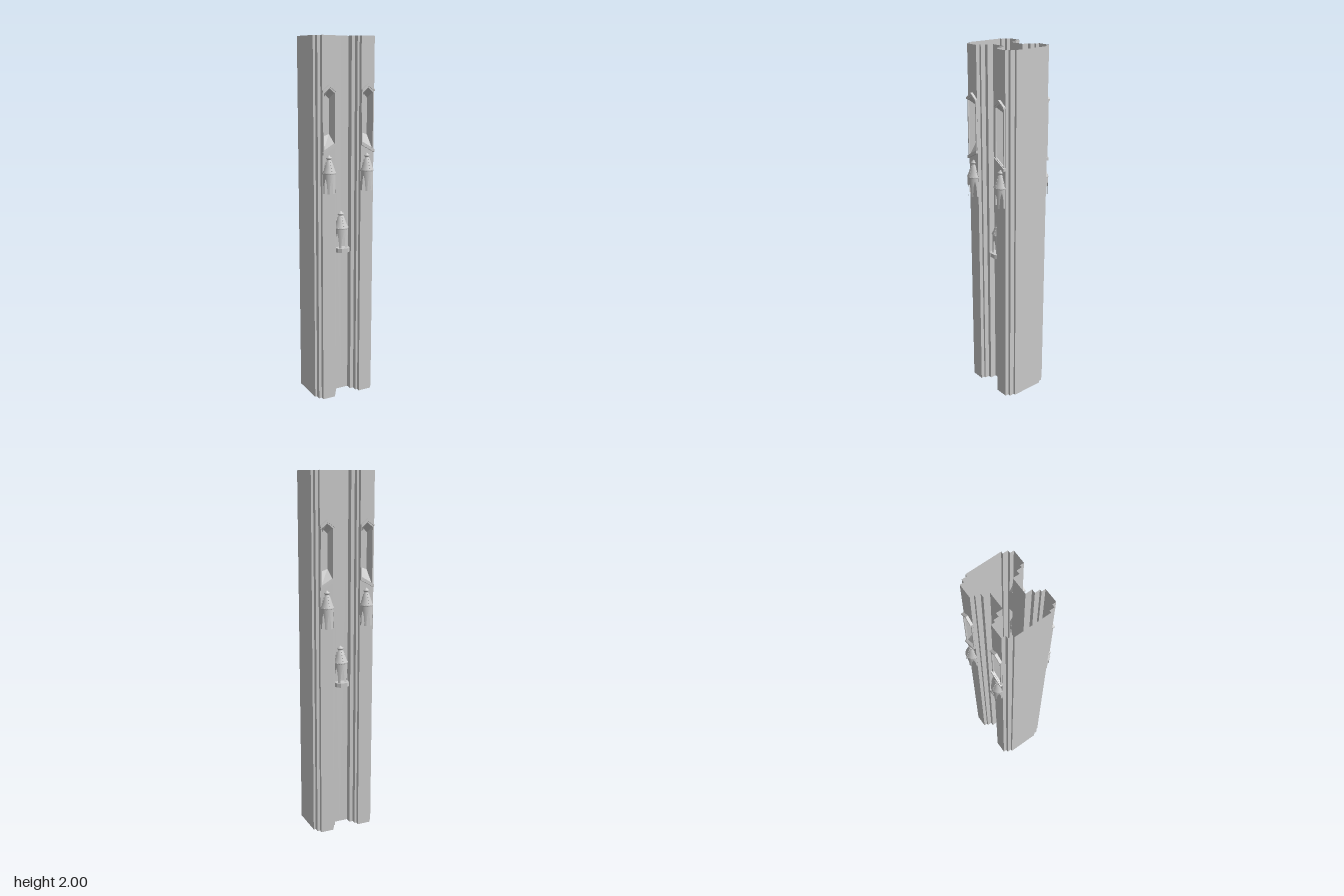
import * as THREE from 'three';

const smooth = new THREE.MeshStandardMaterial({ color: 0xcccccc, side: THREE.DoubleSide });
const flat = new THREE.MeshStandardMaterial({ color: 0xcccccc, side: THREE.DoubleSide, flatShading: true });

const HEIGHT = 2, FACE_Z = 0.143, RECESS_Z = 0.06, FACE_X0 = 0.078, FACE_X1 = 0.153;
const FACE_MID = 0.115;

function add(parent, name, geometry, material, x = 0, y = 0, z = 0) {
  const mesh = new THREE.Mesh(geometry, material);
  mesh.name = name;
  mesh.position.set(x, y, z);
  parent.add(mesh);
  return mesh;
}

// Joins two rows of 3D points with quads
function strip(a, b) {
  const pos = [], index = [];
  a.forEach((p, i) => pos.push(...p, ...b[i]));
  for (let i = 0; i < a.length - 1; i++) {
    const k = i * 2;
    index.push(k, k + 2, k + 1, k + 1, k + 2, k + 3);
  }
  const g = new THREE.BufferGeometry();
  g.setAttribute('position', new THREE.Float32BufferAttribute(pos, 3));
  g.setIndex(index);
  g.computeVertexNormals();
  return g;
}

const toShape = pts => new THREE.Shape(pts.map(p => new THREE.Vector2(...p)));
const extrude = (shape, depth) => new THREE.ExtrudeGeometry(shape, { depth, bevelEnabled: false });

// Gabled window outline with a slanting foot; s is the side of the pier
function windowOutline(s, half, foot, slant, shoulder, apex) {
  return [[s * half, foot], [s * half, shoulder], [0, apex], [-s * half, shoulder], [-s * half, foot + slant]];
}

// Stepped wall section (x, z), drawn as vertical strips
function shellWalls(parent) {
  const outer = [[FACE_X1, FACE_Z], [FACE_X1, 0.122], [0.169, 0.122], [0.169, 0.095], [0.181, 0.095], [0.181, 0]];
  const inner = [[FACE_X0, FACE_Z], [FACE_X0, 0.122], [0.066, 0.122], [0.066, 0.095], [0.046, 0.095], [0.046, RECESS_Z], [0, RECESS_Z]];
  for (const s of [-1, 1]) {
    for (const [name, section] of [['steppedCorner', outer], ['steppedRecess', inner]]) {
      const row = y => section.map(([x, z]) => [s * x, y, z]);
      add(parent, name, strip(row(0), row(HEIGHT)), flat);
    }
  }
}

// Pier face with its splayed blind window
function windowBay(parent, s) {
  const bay = new THREE.Group();
  bay.name = 'windowBay';
  bay.position.x = s * FACE_MID;
  parent.add(bay);

  const opening = windowOutline(s, 0.031, 1.415, 0.036, 1.71, 1.735);
  const back = windowOutline(s, 0.019, 1.485, 0.012, 1.68, 1.7);
  const border = windowOutline(s, 0.0365, 1.395, 0.042, 1.722, 1.752);

  const a = FACE_X0 - FACE_MID, b = FACE_X1 - FACE_MID;
  const face = toShape([[s * a, 0], [s * b, 0], [s * b, HEIGHT], [s * a, HEIGHT]]);
  face.holes.push(toShape(opening));
  add(bay, 'pierFace', new THREE.ShapeGeometry(face), flat, 0, 0, FACE_Z);

  const ring = (pts, z) => [...pts, pts[0]].map(([x, y]) => [x, y, z]);
  add(bay, 'windowSplay', strip(ring(opening, FACE_Z), ring(back, 0.107)), flat);
  add(bay, 'windowPanel', new THREE.ShapeGeometry(toShape(back)), flat, 0, 0, 0.107);

  const frame = toShape(border);
  frame.holes.push(toShape(opening));
  add(bay, 'windowFrame', extrude(frame, 0.008), flat, 0, 0, FACE_Z);

  // Projecting hood above and sill below
  const hood = [[-0.039, 1.715], [-0.039, 1.725], [0, 1.755], [0.039, 1.725], [0.039, 1.715], [0, 1.743]];
  add(bay, 'windowHood', extrude(toShape(hood), 0.014), flat, 0, 0, FACE_Z);
  const sill = [[s * 0.039, 1.392], [s * 0.039, 1.408], [-s * 0.039, 1.451], [-s * 0.039, 1.435]];
  add(bay, 'windowSill', extrude(toShape(sill), 0.014), flat, 0, 0, FACE_Z);
}

// One curved bay of the arcade with a pointed arch cut from below
function archBay(radius, bottom, top, apex) {
  const lower = [], upper = [], n = 12, span = Math.PI / 3;
  const put = (list, t, y) => list.push([radius * Math.sin(t * span / 2), y, radius * Math.cos(t * span / 2)]);
  for (let i = 0; i <= n; i++) {
    const t = i / n * 2 - 1, u = Math.abs(t) / 0.72;
    if (i > 0 && Math.abs(u - 1) < 0.14) {
      // Vertical jamb of the opening
      const order = t < 0 ? [bottom, bottom + 0.02] : [bottom + 0.02, bottom];
      order.forEach(y => { put(lower, t, y); put(upper, t, top); });
      continue;
    }
    const y = u >= 1 ? bottom : bottom + 0.02 + (apex - bottom - 0.02) * Math.pow(1 - u, 0.6);
    put(lower, t, y);
    put(upper, t, top);
  }
  return strip(lower, upper);
}

// Round canopy with arches, a knobbed spire and a finial
function canopy(parent, x, y, z, width, withBase) {
  const g = new THREE.Group();
  g.name = 'canopy';
  g.position.set(x, y, z);
  g.scale.set(width, 1, width);
  parent.add(g);

  const outerWall = archBay(0.04, 0, 0.108, 0.09), innerWall = archBay(0.034, 0, 0.108, 0.09);
  for (let i = 0; i < 6; i++) {
    add(g, 'arch', outerWall, smooth).rotation.y = i * Math.PI / 3;
    add(g, 'archInside', innerWall, smooth).rotation.y = i * Math.PI / 3;
  }

  const spire = [[0.04, 0.104], [0.042, 0.108], [0.041, 0.114], [0.036, 0.122], [0.028, 0.145], [0.019, 0.168],
    [0.012, 0.178], [0.012, 0.181], [0.018, 0.186], [0.017, 0.191], [0.009, 0.195], [0.007, 0.2], [0, 0.203]];
  add(g, 'spire', new THREE.LatheGeometry(spire.map(p => new THREE.Vector2(...p)), 24), smooth);

  const bead = new THREE.IcosahedronGeometry(0.0035, 1);
  for (let i = 0; i < 12; i++) {
    const t = (i + 0.5) * Math.PI / 6;
    add(g, 'rimBead', bead, smooth, 0.04 * Math.sin(t), 0.11, 0.04 * Math.cos(t));
  }
  for (let i = 0; i < 4; i++) {
    const t = i * Math.PI / 2;
    for (let k = 0; k < 4; k++) {
      const r = 0.036 - k * 0.0058;
      add(g, 'spireKnob', bead, smooth, r * Math.sin(t), 0.122 + k * 0.0155, r * Math.cos(t));
    }
  }
  // Half-octagon shelf under the canopy
  if (withBase) {
    const plan = toShape([[-0.043, 0], [-0.035, -0.038], [-0.018, -0.051], [0.018, -0.051], [0.035, -0.038], [0.043, 0]]);
    const shelf = extrude(plan, 0.024);
    shelf.rotateX(-Math.PI / 2);
    add(g, 'shelf', shelf, flat, 0, -0.024, 0);
  }
}

export function createModel() {
  const model = new THREE.Group();
  model.name = 'pier';
  // Front and back halves are alike
  for (let i = 0; i < 2; i++) {
    const half = new THREE.Group();
    half.name = i ? 'backHalf' : 'frontHalf';
    half.rotation.y = i * Math.PI;
    model.add(half);
    shellWalls(half);
    for (const s of [-1, 1]) {
      windowBay(half, s);
      canopy(half, s * FACE_MID, 1.187, FACE_Z, 0.9, false);
    }
    canopy(half, 0, 0.86, RECESS_Z, 1.02, true);
  }
  return model;
}
